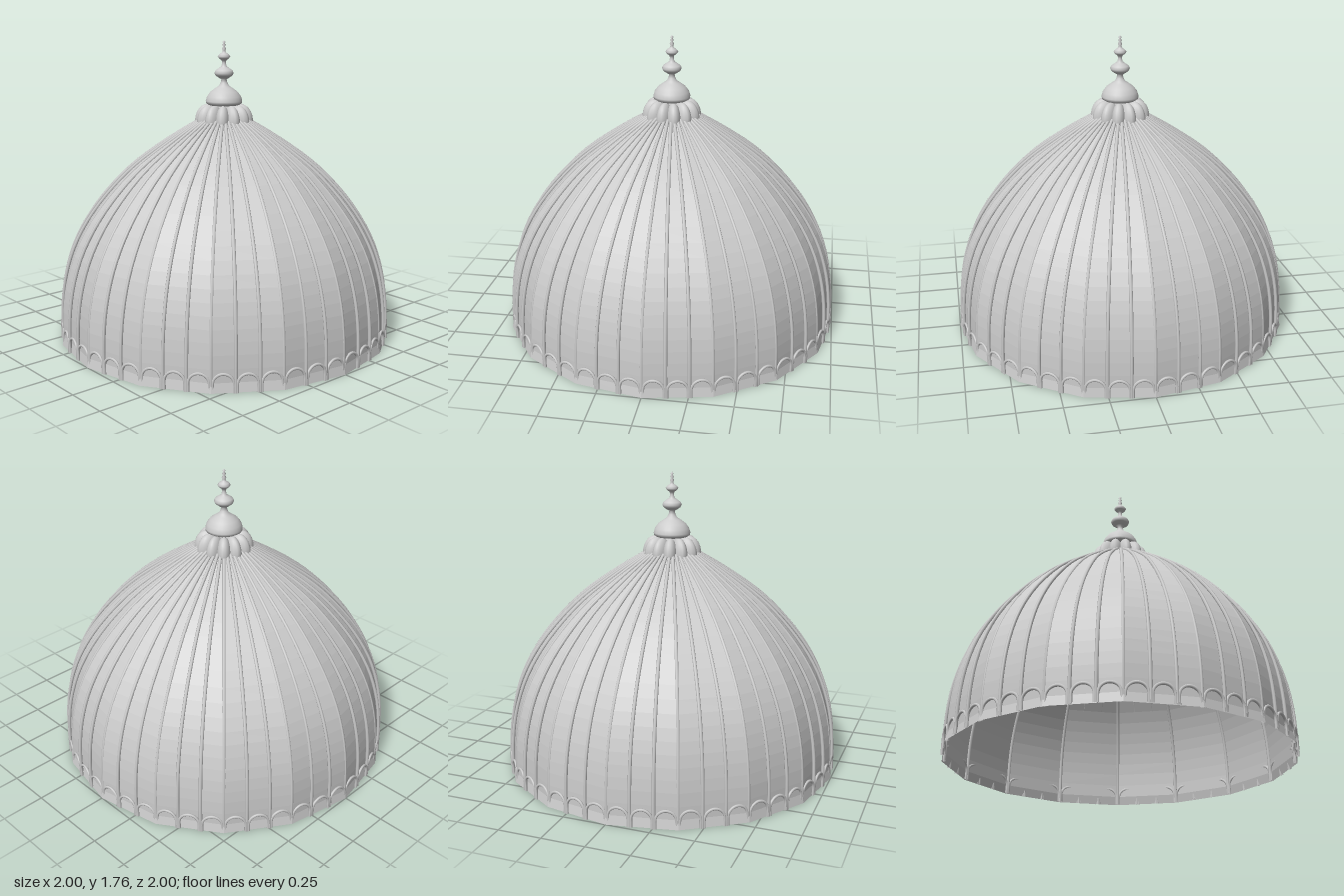
import * as THREE from 'three';

const RIBS = 48;
const SIDES = 16;

// Dome outline as (radius, height), from foot to crown
const outline = new THREE.SplineCurve([
  [0.984, 0], [0.98, 0.2], [0.95, 0.4], [0.88, 0.6], [0.755, 0.8],
  [0.57, 1.0], [0.37, 1.15], [0.17, 1.275], [0.06, 1.33],
].map(([r, y]) => new THREE.Vector2(r, y)));

export function createModel() {
  const model = new THREE.Group();
  const smooth = new THREE.MeshStandardMaterial({ color: 0xcccccc });
  const shellMat = new THREE.MeshStandardMaterial({
    color: 0xcccccc, flatShading: true, side: THREE.DoubleSide,
  });

  const add = (name, geometry, material, parent = model) => {
    const mesh = new THREE.Mesh(geometry, material);
    mesh.name = name;
    parent.add(mesh);
    return mesh;
  };

  // Repeats one geometry around the vertical axis
  const ring = (name, geometry, material, count, offset = 0) => {
    const group = new THREE.Group();
    group.name = name + 's';
    for (let i = 0; i < count; i++) {
      add(name, geometry, material, group).rotation.y = ((i + offset) / count) * Math.PI * 2;
    }
    model.add(group);
  };

  // Open faceted shell, its foot flaring slightly to the corners
  const points = outline.getPoints(24);
  const shell = points.map((p) => new THREE.Vector2(p.x * 1.006, p.y));
  shell[0].x = 1;
  add('domeShell', new THREE.LatheGeometry(shell, SIDES), shellMat);

  // Slim ribs running from foot to crown
  const ribPath = new THREE.CatmullRomCurve3(
    points.map((p) => new THREE.Vector3(0, p.y, p.x)));
  ring('rib', new THREE.TubeGeometry(ribPath, 28, 0.01, 6), smooth, RIBS);

  // Row of small round arches between the ribs at the foot
  const half = 0.056;
  const archPoints = [new THREE.Vector3(half, 0, 0.985), new THREE.Vector3(half, 0.025, 0.985)];
  for (let i = 0; i <= 8; i++) {
    const a = (i / 8) * Math.PI;
    archPoints.push(new THREE.Vector3(Math.cos(a) * half, 0.047 + Math.sin(a) * half, 0.985));
  }
  archPoints.push(new THREE.Vector3(-half, 0.025, 0.985), new THREE.Vector3(-half, 0, 0.985));
  const archPath = new THREE.CatmullRomCurve3(archPoints);
  ring('footArch', new THREE.TubeGeometry(archPath, 24, 0.008, 6), smooth, RIBS, 0.5);

  // Collar of drooping petals around the crown
  const petal = new THREE.SphereGeometry(1, 14, 8, 0, Math.PI * 2, 0, Math.PI / 2);
  petal.scale(0.043, 0.098, 0.073);
  petal.translate(0, 1.283, 0.1);
  ring('petal', petal, smooth, 12, 0.5);

  // Turned finial: bulb, two discs, beads and tip
  const finial = [
    [0, 1.375], [0.09, 1.378], [0.106, 1.388], [0.108, 1.402], [0.1, 1.428],
    [0.08, 1.455], [0.05, 1.477], [0.03, 1.49], [0.02, 1.508], [0.016, 1.528],
    [0.03, 1.536], [0.05, 1.55], [0.057, 1.565], [0.05, 1.58], [0.03, 1.594],
    [0.015, 1.604], [0.011, 1.625], [0.014, 1.638], [0.03, 1.65], [0.037, 1.661],
    [0.028, 1.673], [0.012, 1.684], [0.008, 1.695], [0.013, 1.706], [0.006, 1.717],
    [0.011, 1.727], [0.005, 1.736], [0.009, 1.745], [0, 1.755],
  ].map(([r, y]) => new THREE.Vector2(r, y));
  add('finial', new THREE.LatheGeometry(finial, 28), smooth);

  return model;
}
